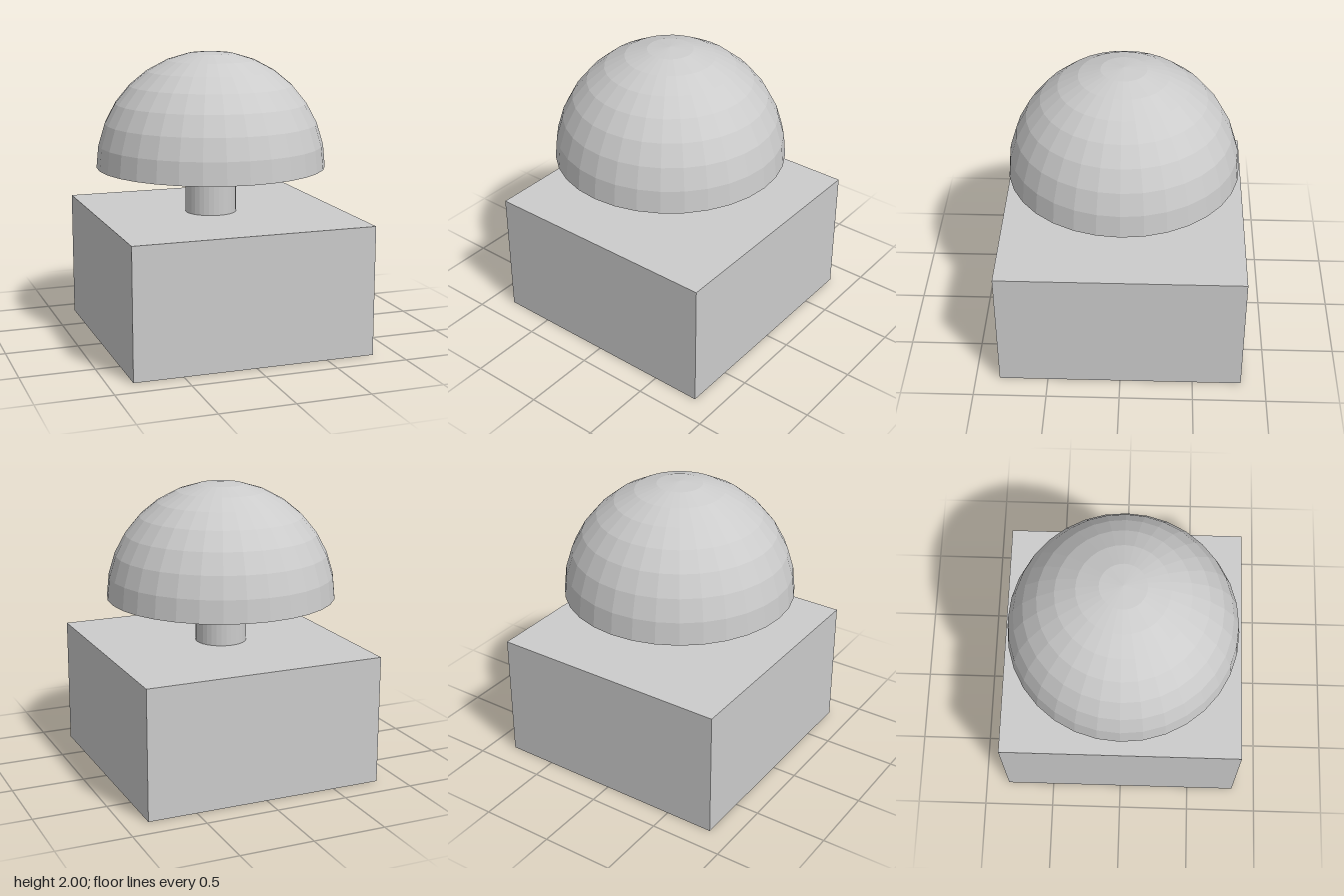
import * as THREE from 'three';

export function createModel() {
  const group = new THREE.Group();
  const material = new THREE.MeshStandardMaterial({ color: 0xcccccc, flatShading: true });
  const axisX = -0.033, baseTop = 0.888, radius = 0.79, domeY = 2 - radius;

  const add = (name, geometry, x, y) => {
    const mesh = new THREE.Mesh(geometry, material);
    mesh.name = name;
    mesh.position.set(x, y, 0);
    group.add(mesh);
  };

  // Square block
  add('base', new THREE.BoxGeometry(1.67, baseTop, 1.67), 0, baseTop / 2);

  // Round stem between block and cap
  const stemHeight = domeY - baseTop;
  add('stem', new THREE.CylinderGeometry(0.177, 0.177, stemHeight, 32), axisX, baseTop + stemHeight / 2);

  // Faceted half-sphere cap with a flat underside
  add('dome', new THREE.SphereGeometry(radius, 32, 8, 0, Math.PI * 2, 0, Math.PI / 2), axisX, domeY);
  add('domeUnderside', new THREE.CircleGeometry(radius, 32).rotateX(Math.PI / 2), axisX, domeY);

  return group;
}
